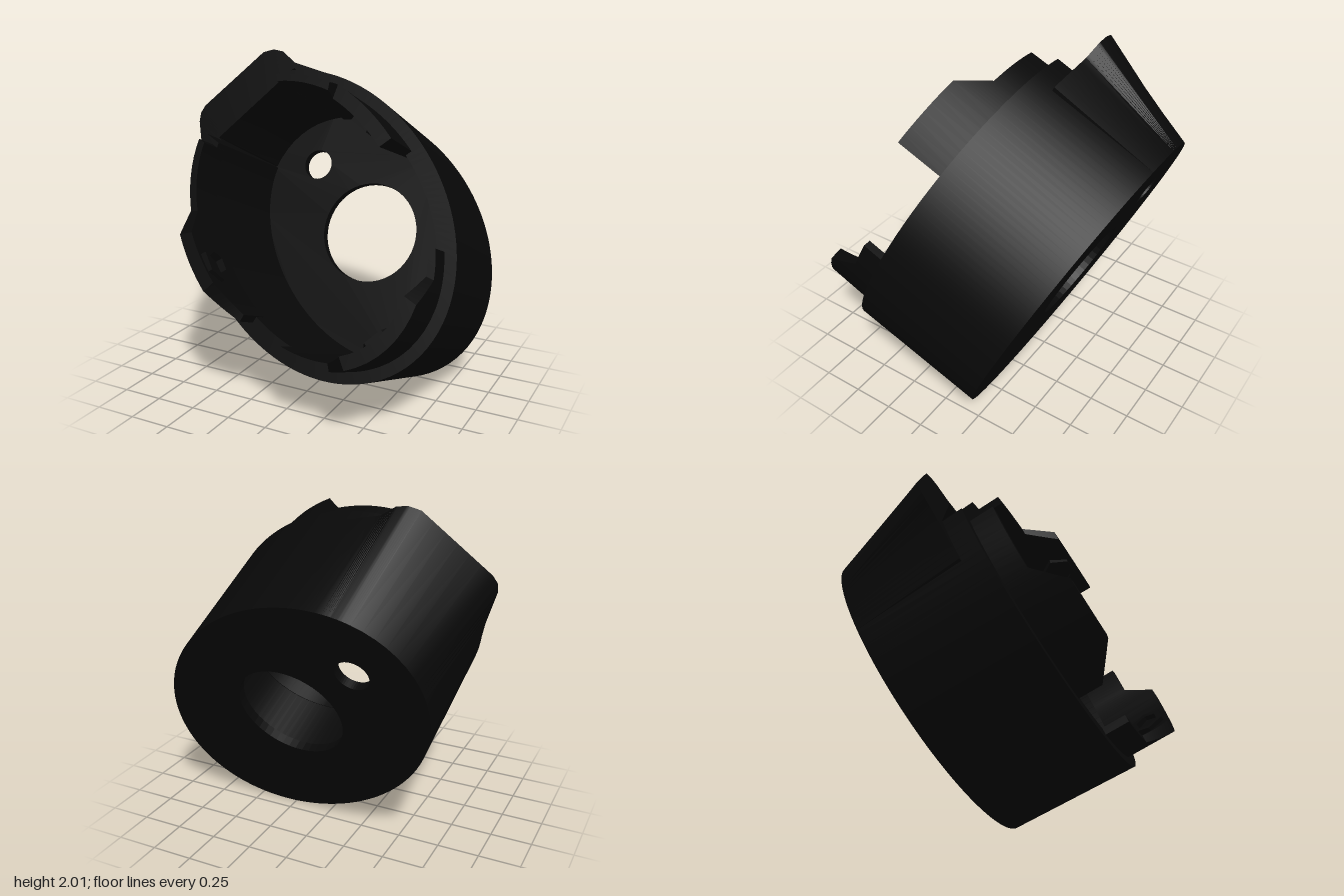
import * as THREE from 'three';
import { toCreasedNormals } from 'three/addons/utils/BufferGeometryUtils.js';

// The housing is an oval cup. Local axes: x, y in the plane of its back, z along the cup's axis.
const CX = 0.065, BACK = -0.155, FLOOR = 0.057, RIM = 0.68, HOOD = 0.55;
const LONG = 0.978, SHORT = 0.728, rad = THREE.MathUtils.degToRad;

// the cup's centre sinks slightly towards the rim
const centreY = z => 0.918 - 0.022 * (z - BACK);

// radius of the slanted oval, grown by off, in direction t
function oval(t, off) {
  const c = Math.cos(t - rad(135)) / (LONG + off), s = Math.sin(t - rad(135)) / (SHORT + off);
  return 1 / Math.hypot(c, s);
}

// sweep four-cornered [radius, z] sections around the axis
function sweep(stations) {
  const rings = stations.map(({ t, section }) => section.map(([r, z]) =>
    [CX + r * Math.cos(t), centreY(z) + r * Math.sin(t), z]));
  const pos = [];
  const quad = (a, b, c, d) => pos.push(...a, ...b, ...c, ...a, ...c, ...d);
  for (let i = 0; i < rings.length - 1; i++) {
    for (let j = 0; j < 4; j++) {
      const k = (j + 1) % 4, p = rings[i], q = rings[i + 1];
      quad(p[j], q[j], q[k], p[k]);
    }
  }
  quad(...rings[0]);
  quad(...[...rings[rings.length - 1]].reverse());
  const g = new THREE.BufferGeometry();
  g.setAttribute('position', new THREE.Float32BufferAttribute(pos, 3));
  return toCreasedNormals(g, rad(28));
}

// subdivide a list of keys linearly
function subdivide(keys, n) {
  const out = [keys[0]];
  for (let i = 1; i < keys.length; i++)
    for (let k = 1; k <= n; k++)
      out.push(keys[i].map((v, j) => THREE.MathUtils.lerp(keys[i - 1][j], v, k / n)));
  return out;
}

export function createModel() {
  const model = new THREE.Group();
  model.name = 'housing';
  const cup = new THREE.Group();
  cup.name = 'cup';
  cup.rotation.x = rad(-24);
  model.add(cup);
  const black = new THREE.MeshStandardMaterial({ color: 0x080808 });
  black.name = 'black plastic';
  const add = (name, geometry) => {
    const m = new THREE.Mesh(geometry, black);
    m.name = name;
    cup.add(m);
    return m;
  };

  // slightly flaring side wall, open where the hood sits
  add('sideWall', sweep(subdivide([[153], [473]], 107).map(([d]) => {
    const t = rad(d);
    return { t, section: [[oval(t, 0), BACK], [oval(t, 0.024), RIM], [oval(t, -0.085), RIM], [oval(t, -0.085), BACK]] };
  })));

  // floor with the large and small round holes
  const outline = new THREE.Shape(Array.from({ length: 96 }, (_, i) => {
    const t = i / 96 * Math.PI * 2, r = oval(t, -0.04);
    return new THREE.Vector2(CX + r * Math.cos(t), centreY(BACK) + r * Math.sin(t));
  }));
  for (const [x, y, r] of [[0.075, 0.95, 0.327], [-0.39, 1.36, 0.1]])
    outline.holes.push(new THREE.Path().absarc(x, y, r, 0, Math.PI * 2, true));
  add('floor', new THREE.ExtrudeGeometry(outline, { depth: FLOOR, bevelEnabled: false, curveSegments: 24 }))
    .position.z = BACK;

  // hood flaring out from the back to a blunt corner, with a straight inner edge
  const hoodEdge = [[-0.06, 1.8], [-0.35, 1.868], [-0.45, 1.936], [-0.52, 1.946], [-0.59, 1.925],
    [-0.945, 1.55], [-0.968, 1.5], [-0.965, 1.44], [-0.88, 1.2], [-0.83, 1.02]];
  add('hood', sweep(subdivide(hoodEdge, 6).map(([x, y]) => {
    const t = Math.atan2(y - centreY(HOOD), x - CX);
    const edge = Math.max(Math.hypot(x - CX, y - centreY(HOOD)), oval(t, 0.021));
    const open = t > rad(113) && t < rad(153);
    const inner = open ? Math.min(0.933 / Math.cos(t - rad(137.5)), edge - 0.05) : oval(t, -0.05);
    return { t, section: [[oval(t, 0), BACK], [edge, HOOD], [inner, HOOD], [oval(t, open ? -0.085 : -0.05), BACK]] };
  })));

  // inset lip pieces, each rising into a claw: [angle, height]
  const lips = {
    upperLip: [[42, 0.998], [79, 0.998], [90, 0.835], [114, 0.835]],
    leftLip: [[155, 0.83], [185, 0.83], [198, 0.995], [229, 0.995], [247, 0.83]],
    lowerLip: [[271, 0.83], [292, 0.83], [302, 0.995], [335, 0.995], [344, 0.83], [355, 0.83]],
  };
  for (const [name, keys] of Object.entries(lips)) {
    add(name, sweep(subdivide(keys, 8).map(([d, top]) => {
      const t = rad(d), outer = oval(t, -0.045), inner = oval(t, -0.09 - (top - 0.83) * 0.2);
      return { t, section: [[outer, 0.6], [outer, top], [inner, top], [oval(t, -0.09), 0.6]] };
    })));
  }

  // hexagonal nut seats on the inner faces of the claws
  const hex = r => Array.from({ length: 6 }, (_, i) =>
    new THREE.Vector2(r * Math.cos(i * Math.PI / 3), r * Math.sin(i * Math.PI / 3)));
  const seat = new THREE.Shape(hex(0.115));
  seat.holes.push(new THREE.Path(hex(0.075).reverse()));
  const seatGeometry = new THREE.ExtrudeGeometry(seat, { depth: 0.05, bevelEnabled: false });
  for (const d of [60, 216, 316]) {
    const t = rad(d), r = oval(t, -0.1), y = centreY(0.87);
    const m = add('nutSeat', seatGeometry);
    m.position.set(CX + r * Math.cos(t), y + r * Math.sin(t), 0.87);
    m.rotation.set(Math.PI / 2, t - Math.PI / 2, 0, 'ZXY');
    m.quaternion.setFromRotationMatrix(new THREE.Matrix4().makeBasis(
      new THREE.Vector3(Math.sin(t), -Math.cos(t), 0),
      new THREE.Vector3(0, 0, 1),
      new THREE.Vector3(-Math.cos(t), -Math.sin(t), 0)));
  }
  return model;
}
